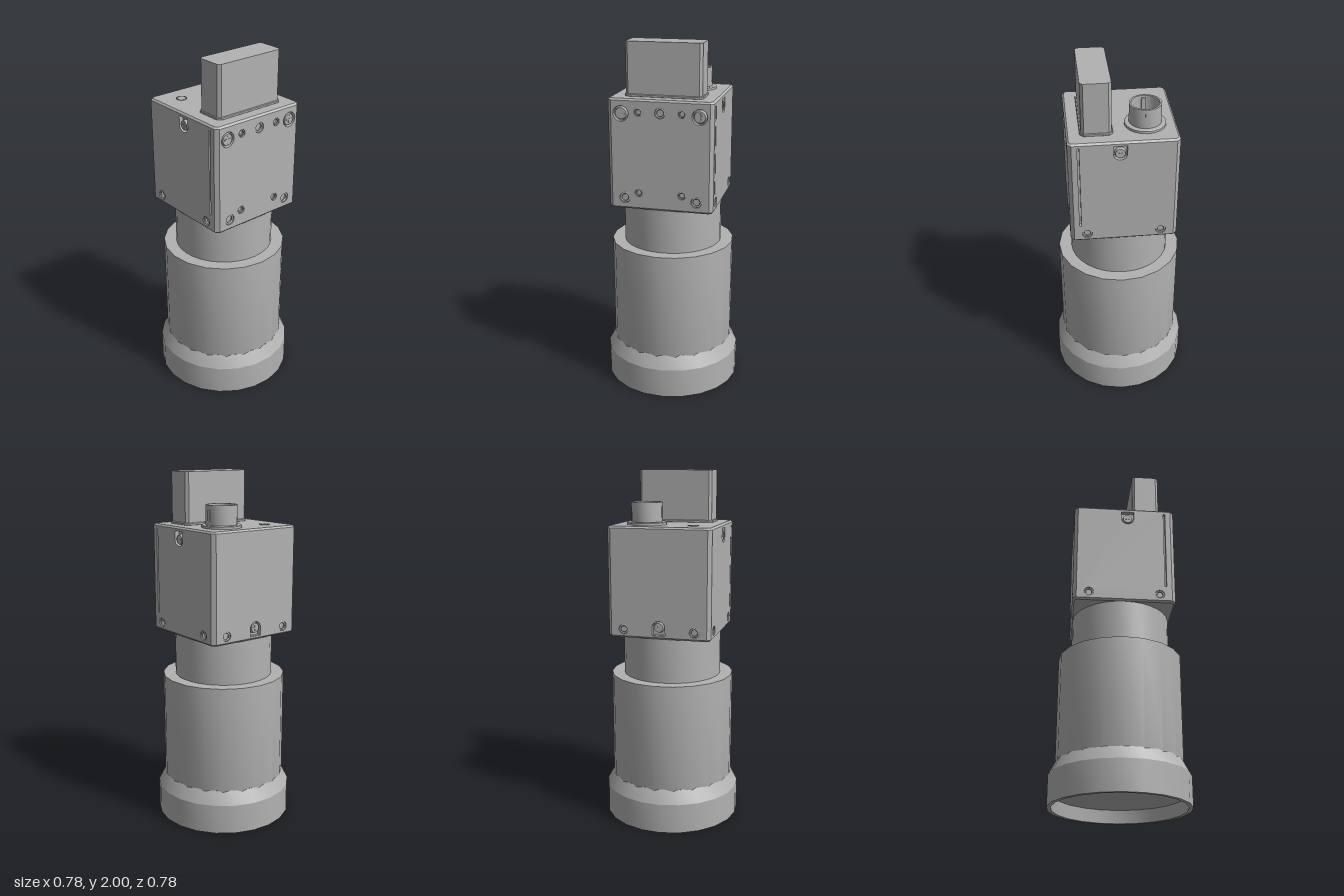
import * as THREE from 'three';
import { toCreasedNormals } from 'three/addons/utils/BufferGeometryUtils.js';

const HALF = 0.29;   // half width of the square housing
const WALL = 0.025;  // wall thickness, also depth of the screw holes
const CH = 0.02;     // chamfer of the vertical edges
const BOTTOM = 1.10, TOP = 1.71, BEVEL = 0.01;

export function createModel() {
  const group = new THREE.Group();
  const grey = new THREE.MeshStandardMaterial({ color: 0xb2b2b2 });
  grey.name = 'grey metal';

  const add = (name, geometry, x = 0, y = 0, z = 0, parent = group) => {
    const mesh = new THREE.Mesh(geometry, grey);
    mesh.name = name;
    mesh.position.set(x, y, z);
    parent.add(mesh);
    return mesh;
  };
  const lathe = (points, sides, start = 0) => toCreasedNormals(
    new THREE.LatheGeometry(points.map(([r, y]) => new THREE.Vector2(r, y)), sides, start), 0.4);

  // Square with cut corners
  const octagon = (w, d, c) => new THREE.Shape([
    [w - c, -d], [w, c - d], [w, d - c], [w - c, d],
    [c - w, d], [-w, d - c], [-w, c - d], [c - w, -d],
  ].map(([x, y]) => new THREE.Vector2(x, y)));
  // Extrusion that rises along y from 0
  const rise = (shape, height, bevel = 0) => {
    const g = new THREE.ExtrudeGeometry(shape, {
      depth: height - 2 * bevel, bevelEnabled: bevel > 0, bevelSize: bevel,
      bevelThickness: bevel, bevelOffset: -bevel, bevelSegments: 1,
    });
    return g.translate(0, 0, bevel).rotateX(-Math.PI / 2);
  };

  // Lens: hood with recessed front glass, barrel and neck
  add('lensHood', lathe([[0.36, 0.08], [0.368, 0], [0.39, 0], [0.39, 0.17], [0.35, 0.245], [0.3, 0.245]], 22, 0.09));
  add('frontGlass', lathe([[0, 0.075], [0.362, 0.075]], 22, 0.09));
  add('lensBarrel', lathe([[0.34, 0.2], [0.352, 0.235], [0.352, 0.85], [0, 0.85]], 20, -0.04));
  add('lensNeck', lathe([[0.28, 0.84], [0.28, 1.105], [0, 1.105]], 32));

  // Housing core and bevelled end plates
  const core = HALF - WALL;
  add('housingCore', rise(octagon(core, core, 0.005), TOP - BOTTOM - 2 * BEVEL), 0, BOTTOM + BEVEL, 0);
  const endPlate = rise(octagon(HALF, HALF, CH), 2 * BEVEL + 0.001, BEVEL);
  add('housingTop', endPlate, 0, TOP - 2 * BEVEL - 0.001, 0);
  add('housingBottom', endPlate, 0, BOTTOM, 0);

  // Chamfered vertical corners
  const wallHeight = TOP - BOTTOM - 2 * BEVEL, midY = (TOP + BOTTOM) / 2;
  for (const sx of [-1, 1]) for (const sz of [-1, 1]) {
    const p = HALF - CH / 2 - 0.007;
    const post = add('cornerPost', new THREE.BoxGeometry(CH * Math.SQRT2, wallHeight, 0.0198), sx * p, midY, sz * p);
    post.rotation.y = sx * sz * Math.PI / 4;
  }

  // Cross-head screw sunk into a wall
  const addScrew = (wall, x, y, r) => {
    const head = add('screwHead', new THREE.CylinderGeometry(r * 0.85, r, 0.018, 20), x, y, HALF - 0.012, wall);
    head.rotation.x = Math.PI / 2;
    for (const [w, h] of [[1.1, 0.24], [0.24, 1.1]])
      add('screwCross', new THREE.BoxGeometry(r * w, r * h, 0.004), x, y, HALF - 0.003, wall);
  };

  // Wall with round holes [x, y, r], screws [x, y, r] and other cut-outs
  const addWall = (name, angle, holes, screws, cuts = []) => {
    const wall = new THREE.Group();
    wall.name = name;
    const w = HALF - CH, y0 = BOTTOM + BEVEL, y1 = TOP - BEVEL;
    const shape = new THREE.Shape([[-w, y0], [w, y0], [w, y1], [-w, y1]].map(([x, y]) => new THREE.Vector2(x, y)));
    for (const [x, y, r] of holes)
      shape.holes.push(new THREE.Path().absarc(x, y, r, 0, Math.PI * 2, true));
    shape.holes.push(...cuts);
    add(name + 'Plate', toCreasedNormals(
      new THREE.ExtrudeGeometry(shape, { depth: WALL, bevelEnabled: false, curveSegments: 18 }), 0.5),
    0, 0, core, wall);
    for (const s of screws) addScrew(wall, ...s);
    // Countersunk cones inside the open holes
    for (const [x, y, r] of holes) {
      if (screws.some((s) => s[0] === x && s[1] === y)) continue;
      const cone = add('holeSeat', new THREE.TorusGeometry(r * 0.82, r * 0.2, 6, 18), x, y, HALF - 0.008, wall);
      cone.scale.z = 0.8;
    }
    wall.rotation.y = angle;
    group.add(wall);
  };
  // U-shaped notch, opening up (dir 1) or down (dir -1)
  const notch = (x, y, r, dir) => {
    const path = new THREE.Path();
    path.moveTo(x - r, y + dir * 0.045);
    path.lineTo(x - r, y);
    path.absarc(x, y, r, Math.PI, 0, dir < 0);
    path.lineTo(x + r, y + dir * 0.045);
    path.closePath();
    return path;
  };
  const slot = (x) => new THREE.Path([[-0.005, 1.2], [0.005, 1.2], [0.005, 1.685], [-0.005, 1.685]]
    .map(([dx, y]) => new THREE.Vector2(x + dx, y)));

  const frontHoles = [[0, 1.64, 0.029]], frontScrews = [];
  for (const s of [-1, 1]) {
    frontHoles.push([s * 0.215, 1.63, 0.042], [s * 0.12, 1.64, 0.021], [s * 0.2, 1.163, 0.03], [s * 0.12, 1.195, 0.022]);
    frontScrews.push([s * 0.215, 1.63, 0.036]);
  }
  addWall('frontWall', 0, frontHoles, frontScrews);
  const lowHoles = [[-0.2, 1.147, 0.027], [0.2, 1.147, 0.027]];
  addWall('backWall', Math.PI, lowHoles, [[0, 1.165, 0.03]], [notch(0, 1.165, 0.036, -1)]);
  for (const s of [-1, 1])
    addWall(s > 0 ? 'leftWall' : 'rightWall', s * Math.PI / 2, lowHoles,
      [[-s * 0.02, 1.642, 0.03]], [notch(-s * 0.02, 1.642, 0.036, 1), slot(-s * 0.235)]);

  // Tall rectangular plug on top
  add('plugBase', rise(octagon(0.217, 0.086, 0.02), 0.015, 0.003), 0, TOP - 0.002, 0.135);
  add('plug', rise(octagon(0.21, 0.079, 0.015), 2 - TOP), 0, TOP, 0.135);

  // Round socket: flange, open collar, pin insert and key ribs
  const socket = new THREE.Group();
  socket.name = 'socket';
  socket.position.set(0.11, TOP, -0.127);
  group.add(socket);
  add('socketFlange', lathe([[0.11, 0], [0.11, 0.012], [0.104, 0.016], [0, 0.016]], 20), 0, 0, 0, socket);
  add('socketCollar', lathe([[0.086, 0], [0.086, 0.122], [0.075, 0.122], [0.075, 0.01]], 20), 0, 0, 0, socket);
  add('pinInsert', lathe([[0.057, 0.01], [0.057, 0.035], [0.052, 0.04], [0, 0.04]], 20), 0, 0, 0, socket);
  for (const s of [-1, 1]) {
    add('socketRib', new THREE.BoxGeometry(0.01, 0.1, 0.025), s * 0.071, 0.06, 0, socket);
    add('bayonetPin', new THREE.BoxGeometry(0.006, 0.06, 0.02), s * 0.085, 0.068, 0, socket);
  }

  // Status light
  add('lightRing', lathe([[0.031, 0], [0.031, 0.003], [0.025, 0.003], [0.025, 0]], 20), -0.162, TOP, -0.163);
  add('statusLight', lathe([[0.023, 0], [0.023, 0.002], [0, 0.004]], 20), -0.162, TOP, -0.163);

  return group;
}
